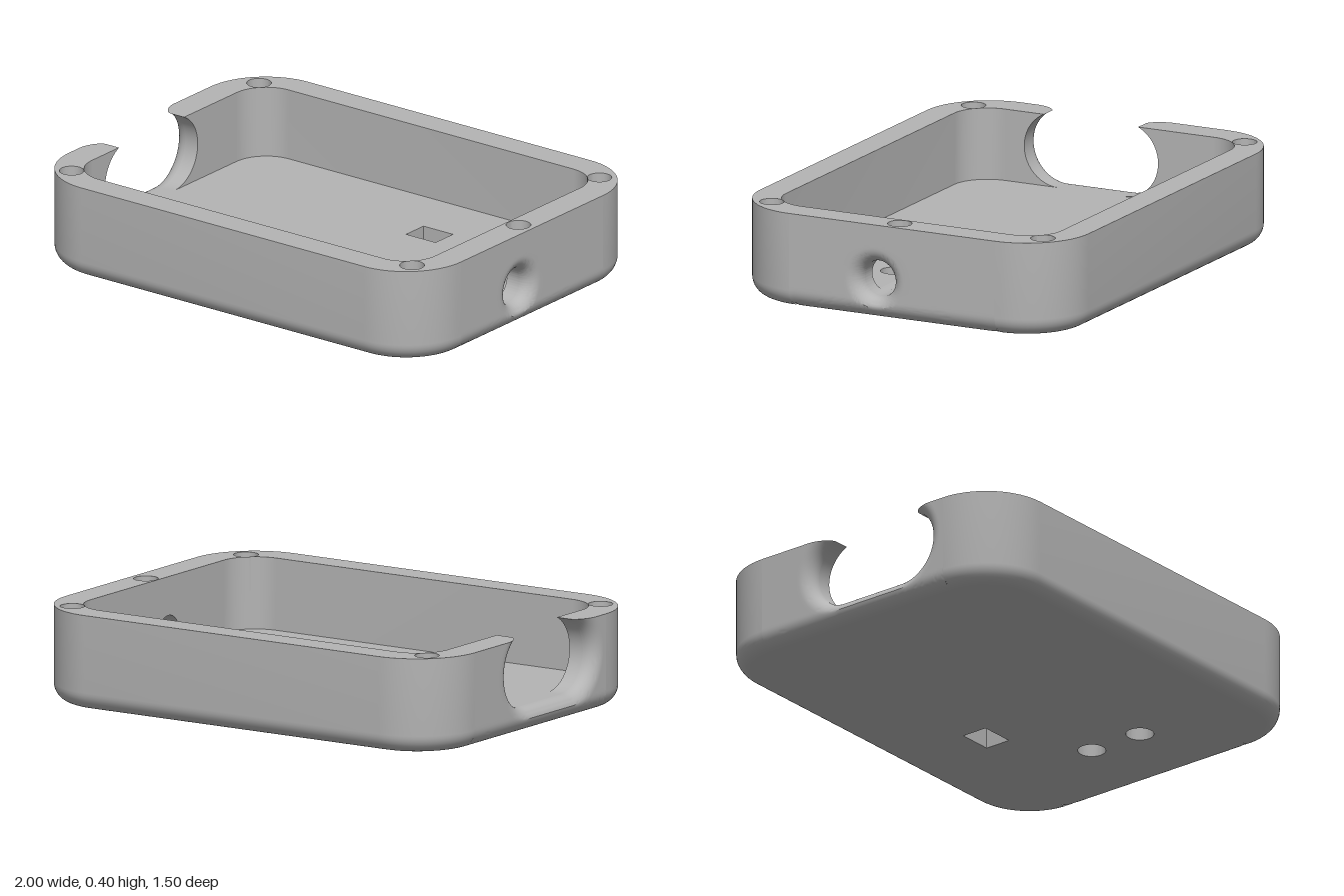
import * as THREE from 'three';
import { toCreasedNormals } from 'three/addons/utils/BufferGeometryUtils.js';

const H = 0.395, FLOOR = 0.097;            // rim and floor heights
const R = 0.075, FLARE = 0.06;             // bottom edge and opening roundings
const OUT = { hx: 1, hz: 0.75, r: 0.28 }, IN = { hx: 0.875, hz: 0.63, r: 0.15 };
const PORT = { y: 0.16, z: 0.08, r: 0.075 };                    // round cable hole
const NOTCH = { y: 0.253, z: 0.085, half: 0.15, r: 0.156 };     // wide open slot
const N = 32;
const range = (n, f) => Array.from({ length: n + 1 }, (_, i) => f(i / n, i));
const lerp = THREE.MathUtils.lerp;

export function createModel() {
  const group = new THREE.Group();
  const grey = new THREE.MeshStandardMaterial({ color: 0xb4b4b4, side: THREE.DoubleSide });
  grey.name = 'grey plastic';

  const add = (name, geo) => {
    const mesh = new THREE.Mesh(geo, grey);
    mesh.name = name;
    group.add(mesh);
  };

  // Skin a grid of [x, y, z] rows
  const loft = (name, rows, flip = false) => {
    const w = rows[0].length, index = [];
    for (let j = 0; j < rows.length - 1; j++) for (let i = 0; i < w - 1; i++) {
      const a = j * w + i, b = a + 1, c = a + w, d = c + 1;
      index.push(...(flip ? [a, c, b, b, c, d] : [a, b, c, b, d, c]));
    }
    const geo = new THREE.BufferGeometry();
    geo.setAttribute('position', new THREE.Float32BufferAttribute(rows.flat(2), 3));
    geo.setIndex(index);
    add(name, toCreasedNormals(geo, 0.6));
  };

  // Flat horizontal plate from [x, z] outlines
  const plate = (name, outline, holes, y, up) => {
    const s = up ? -1 : 1;
    const vec = (pts) => pts.map(([x, z]) => new THREE.Vector2(x, s * z));
    const shape = new THREE.Shape(vec(outline));
    shape.holes = holes.map((h) => new THREE.Path(vec(h)));
    add(name, new THREE.ShapeGeometry(shape).rotateX(s * Math.PI / 2).translate(0, y, 0));
  };

  // Half of a rounded rectangle, running from +x to -x
  const half = ({ hx, hz, r }, inset, s) => [1, -1].flatMap((side) => range(16, (t) => {
    const a = (side > 0 ? t : 1 + t) * Math.PI / 2, q = r - inset;
    return [side * (hx - r) + q * Math.cos(a), s * (hz - r + q * Math.sin(a))];
  }));
  const whole = (o, inset) => [...half(o, inset, 1), ...half(o, inset, -1).reverse()];
  const circle = (x, z, r, n = 40) => range(n, (t) =>
    [x + r * Math.cos(t * 2 * Math.PI), z + r * Math.sin(t * 2 * Math.PI)]);
  const rect = (x0, x1, z0, z1) => [[x0, z0], [x1, z0], [x1, z1], [x0, z1], [x0, z0]];
  const tube = (name, pts, y0, y1) =>
    loft(name, [y0, y1].map((y) => pts.map(([x, z]) => [x, y, z])));

  // Front and back shells with both round corners, outside and inside
  const profile = [[H, 0], ...range(10, (t) => {
    const a = t * Math.PI / 2;
    return [R * (1 - Math.sin(a)), R * (1 - Math.cos(a))];
  })];
  for (const s of [1, -1]) {
    const side = s > 0 ? 'front' : 'back';
    loft(side + 'OuterWall', profile.map(([y, inset]) =>
      half(OUT, inset, s).map(([x, z]) => [x, y, z])), s < 0);
    loft(side + 'InnerWall', [H, FLOOR].map((y) =>
      half(IN, 0, s).map(([x, z]) => [x, y, z])), s > 0);
  }

  // Rings of [z, y] around each opening, d outside its edge
  const portRing = (d) => range(4 * N, (t) => {
    const a = (t * 2 + 0.25) * Math.PI;
    return [PORT.z + (PORT.r + d) * Math.cos(a), PORT.y + (PORT.r + d) * Math.sin(a)];
  });
  const notchRing = (d) => {
    const r = NOTCH.r + d, a0 = Math.asin((H - NOTCH.y) / r);
    const arc = (s) => range(N, (t) => {
      const a = lerp(a0, -Math.PI / 2, t);
      return [NOTCH.z + s * (NOTCH.half + r * Math.cos(a)), NOTCH.y + r * Math.sin(a)];
    });
    const flat = range(N, (t) =>
      [NOTCH.z + lerp(-NOTCH.half, NOTCH.half, t), NOTCH.y - r]).slice(1, -1);
    return [...arc(-1), ...flat, ...arc(1).reverse()];
  };
  // Matching points on the edge of the straight wall section
  const portBorder = (Z) => range(4 * N, (t, i) => {
    const k = (i % N) / N, y0 = 0;
    return [[lerp(Z, -Z, k), H], [-Z, lerp(H, y0, k)], [lerp(-Z, Z, k), y0], [Z, lerp(y0, H, k)]][Math.floor(i / N) % 4];
  });
  const notchBorder = (ring, Z, base) => {
    const low = ring[N][1];
    return ring.map(([, y], i) => i > N && i < 2 * N ? [lerp(-Z, Z, (i - N) / N), base]
      : [i <= N ? -Z : Z, lerp(base, H, (y - low) / (H - low))]);
  };

  // Outer end wall with a rounded lip around the opening
  const bodyInset = (y) => y < R ? R - Math.sqrt(Math.max(0, R * R - (R - y) ** 2)) : 0;
  const endWall = (name, s, ringAt, border) => {
    const place = (ring, inset) => ring.map(([z, y]) =>
      [s * (1 - Math.max(inset, bodyInset(y))), y, z]);
    const last = ringAt(FLARE);
    const lip = range(10, (t) => {
      const a = t * Math.PI / 2;
      return place(ringAt(FLARE * (1 - Math.cos(a))), FLARE * (1 - Math.sin(a)));
    });
    const field = range(14, (t) => place(last.map(([z, y], i) =>
      [lerp(z, border[i][0], t), lerp(y, border[i][1], t)]), 0)).slice(1);
    loft(name, [...lip, ...field], s < 0);
    loft(name + 'Opening', [1 - FLARE, IN.hx].map((x) =>
      ringAt(0).map(([z, y]) => [s * x, y, z])), s > 0);
  };
  const zOut = OUT.hz - OUT.r, zIn = IN.hz - IN.r;
  endWall('portWall', 1, portRing, portBorder(zOut));
  endWall('notchWall', -1, notchRing, notchBorder(notchRing(FLARE), zOut, 0));

  // Inner faces of the end walls
  const slot = notchRing(0);
  loft('notchInnerWall', [slot, notchBorder(slot, zIn, FLOOR)].map((p) =>
    p.map(([z, y]) => [-IN.hx, y, z])));
  const cut = Math.asin((FLOOR - PORT.y) / PORT.r);
  const portArc = range(3 * N, (t) => {
    const a = lerp(cut, Math.PI - cut, t);
    return [PORT.z + PORT.r * Math.cos(a), PORT.y + PORT.r * Math.sin(a)];
  });
  const portFrame = range(3 * N, (t, i) => i <= N ? [zIn, lerp(FLOOR, H, i / N)]
    : i <= 2 * N ? [lerp(zIn, -zIn, i / N - 1), H] : [-zIn, lerp(H, FLOOR, i / N - 2)]);
  loft('portInnerWall', [portArc, portFrame].map((p) => p.map(([z, y]) => [IN.hx, y, z])), true);

  // Rim, open at the notch, with blind screw holes
  const lipCurve = (s) => range(12, (t) => {
    const a = t * Math.PI / 2, r = NOTCH.r + FLARE * (1 - Math.cos(a));
    return [-1 + FLARE * (1 - Math.sin(a)),
      NOTCH.z + s * (NOTCH.half + Math.sqrt(r * r - (H - NOTCH.y) ** 2))];
  });
  const screws = [[-0.87, -0.62], [-0.87, 0.62], [0.865, -0.62], [0.865, 0.62], [0.93, 0]]
    .map(([x, z]) => circle(x, z, 0.05));
  plate('rim', [
    ...lipCurve(-1), ...half(OUT, 0, -1).reverse(), ...half(OUT, 0, 1), ...lipCurve(1).reverse(),
    [-IN.hx, slot[3 * N][0]], ...half(IN, 0, 1).reverse(), ...half(IN, 0, -1), [-IN.hx, slot[0][0]],
  ], screws, H, true);
  for (const s of screws) {
    tube('screwHole', s, H, H - 0.14);
    plate('screwHoleBottom', s, [], H - 0.14, true);
  }

  // Floor and underside with their through holes
  const cuts = [circle(0.6, -0.05, 0.057), circle(0.6, 0.2, 0.057), rect(0.165, 0.315, -0.365, -0.25)];
  const gw = PORT.r * Math.cos(cut), gx = 0.305;
  plate('floor', whole(IN, 0), [...cuts, rect(gx, IN.hx - 0.0005, PORT.z - gw, PORT.z + gw)], FLOOR, true);
  plate('underside', whole(OUT, R), cuts, 0, false);
  for (const c of cuts) tube('floorHole', c, FLOOR, 0);

  // Shallow cable groove in line with the port
  const groove = range(12, (t) => {
    const a = lerp(-Math.PI - cut, cut, t);
    return [PORT.z + PORT.r * Math.cos(a), PORT.y + PORT.r * Math.sin(a)];
  });
  loft('cableGroove', [gx, IN.hx].map((x) => groove.map(([z, y]) => [x, y, z])), true);
  loft('cableGrooveEnd', [FLOOR, null].map((top) => groove.map(([z, y]) => [gx, top ?? y, z])));

  return group;
}
